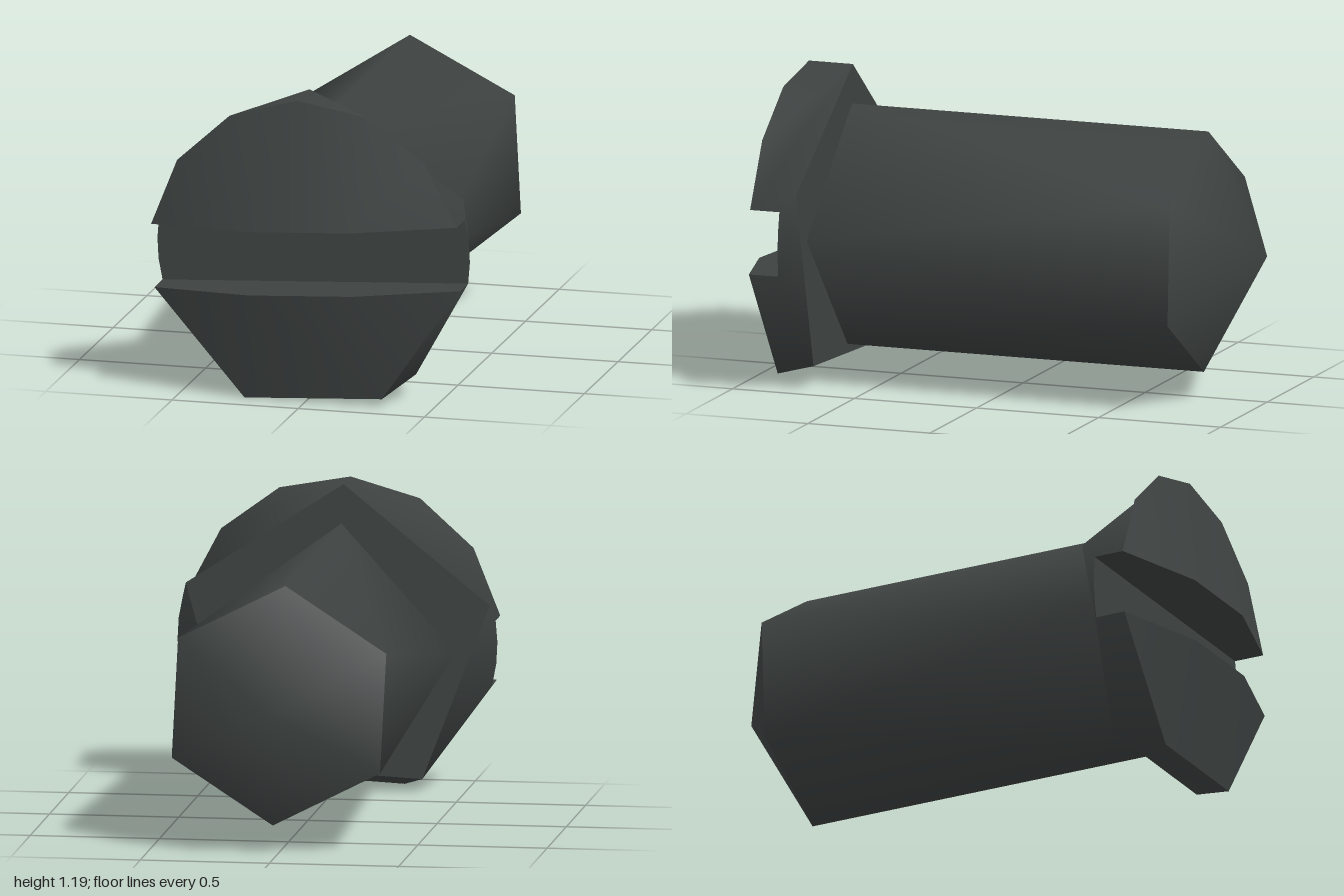
import * as THREE from 'three';

const CY = 0.573;                       // height of the screw's axis
const TILT = 3;                         // whole screw is turned slightly, degrees
const R_SHAFT = 0.466, R_HEAD = 0.619;
const Z_TIP = -1, Z_CONE = -0.75, Z_BACK = 0.71, Z_FLOOR = 0.77, Z_RIM = 0.89, Z_FRONT = 1;

const material = new THREE.MeshStandardMaterial({ color: 0x3e4342 });

// Arc of n points around the axis, counter-clockwise from the front
function arc(n, start, step, r, z) {
  return Array.from({ length: n }, (_, i) => {
    const a = THREE.MathUtils.degToRad(start + step * i);
    return new THREE.Vector3(r * Math.cos(a), CY + r * Math.sin(a), z);
  });
}

// Mesh from points and convex polygons; normals are smooth inside a part
function mesh(name, points, polygons) {
  const index = [];
  for (const p of polygons) {
    for (let i = 1; i < p.length - 1; i++) index.push(p[0], p[i], p[i + 1]);
  }
  const g = new THREE.BufferGeometry().setFromPoints(points);
  g.setIndex(index);
  g.computeVertexNormals();
  const m = new THREE.Mesh(g, material);
  m.name = name;
  return m;
}

// Single flat polygon
const flat = (name, points) => mesh(name, points, [points.map((_, i) => i)]);

// Side wall whose normals point straight away from the axis
function roundWall(name, points, polygons) {
  const m = mesh(name, points, polygons);
  points.forEach((p, i) => {
    const n = new THREE.Vector3(p.x, p.y - CY, 0).normalize();
    m.geometry.attributes.normal.setXYZ(i, n.x, n.y, n.z);
  });
  return m;
}

export function createModel() {
  const model = new THREE.Group();
  model.name = 'screw';

  // Shaft: six-sided at the tip (h), four-sided at the head (q)
  const hexagon = arc(6, 30 + TILT, 60, R_SHAFT, Z_CONE);
  const square = arc(4, TILT, 90, R_SHAFT, Z_BACK);
  const shaftFaces = [];
  for (const half of [0, 1]) {
    const h = (i) => (i + 3 * half) % 6;
    const q = (i) => 6 + ((i + 2 * half) % 4);
    shaftFaces.push([h(0), q(1), q(0)], [h(0), h(1), q(1)], [h(1), h(2), q(1)],
      [h(2), q(2), q(1)], [h(2), h(3), q(2)]);
  }
  model.add(roundWall('shaft', [...hexagon, ...square], shaftFaces));

  // Pointed tip
  model.add(mesh('tip', [...hexagon, new THREE.Vector3(0, CY, Z_TIP)],
    hexagon.map((_, i) => [6, (i + 1) % 6, i])));

  const head = new THREE.Group();
  head.name = 'head';
  model.add(head);

  // Head outlines: upper rim in six steps, lower rim in three, slot ends between
  const upper = arc(7, 14.75, 26.11, R_HEAD, Z_RIM);
  const lower = arc(4, 194.7, 52.25, R_HEAD, Z_RIM);
  const leftEnd = arc(4, 171.4, 7.77, R_HEAD, Z_FLOOR);
  const rightEnd = arc(4, 351.45, 7.77, R_HEAD, Z_FLOOR);
  const back = arc(5, 18 + TILT, 72, R_HEAD, Z_BACK);

  // Rim wall: each back corner fans to its own stretch of the front outline
  const front = [...upper, ...leftEnd, ...lower, ...rightEnd];
  const f = (i) => 5 + (i % front.length);
  const wallFaces = [];
  for (const [corner, first, last] of [[1, 0, 6], [2, 6, 10], [3, 10, 13], [4, 13, 15], [0, 15, 19]]) {
    wallFaces.push([(corner + 4) % 5, corner, f(first)]);
    for (let i = first; i < last; i++) wallFaces.push([corner, f(i + 1), f(i)]);
  }
  head.add(roundWall('headWall', [...back, ...front], wallFaces));

  // Pentagonal back and slot floor
  head.add(flat('headBack', [...back].reverse()));
  head.add(flat('slotFloor', [...leftEnd, ...rightEnd]));

  // Crown points on the slot edges, at the very front
  const crown = (a, b) => [0.33, 0.67].map((t) => a.clone().lerp(b, t).setZ(Z_FRONT));
  const [uR, uL] = crown(upper[0], upper[6]);
  const [lL, lR] = crown(lower[0], lower[3]);

  // Upper and lower domes
  head.add(mesh('upperDome', [...upper, uR, uL],
    [[7, 0, 1], [7, 1, 2], [7, 2, 3], [7, 3, 8], [8, 3, 4], [8, 4, 5], [8, 5, 6]]));
  head.add(mesh('lowerDome', [...lower, lL, lR],
    [[4, 0, 1], [4, 1, 2, 5], [5, 2, 3]]));

  // Slot sides
  head.add(flat('upperSlotSide', [leftEnd[0], rightEnd[3], upper[0], uR, uL, upper[6]]));
  head.add(flat('lowerSlotSide', [rightEnd[0], leftEnd[3], lower[0], lL, lR, lower[3]]));

  return model;
}
